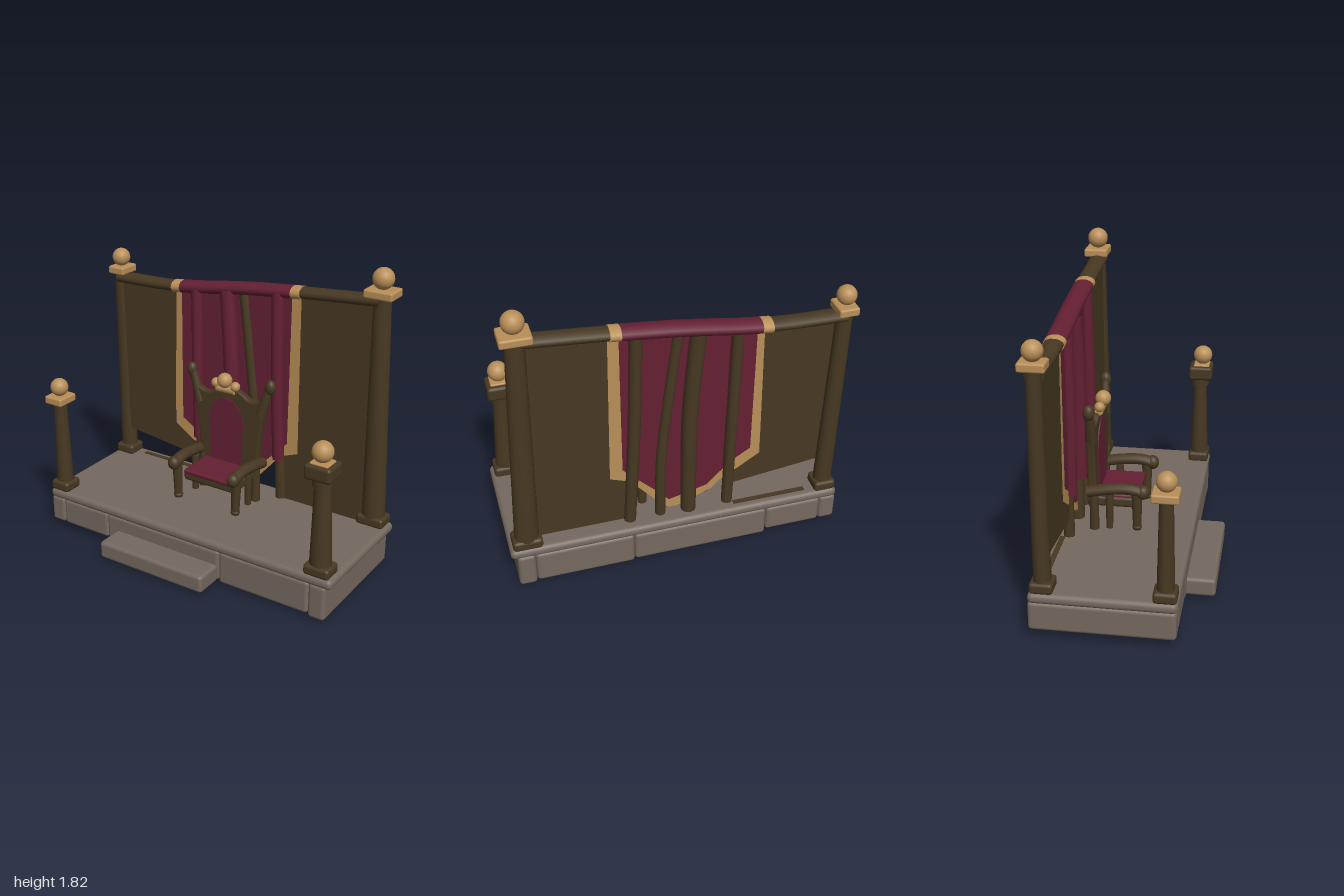
import * as THREE from 'three';
import { RoundedBoxGeometry } from 'three/addons/geometries/RoundedBoxGeometry.js';

const mat = (name, color, side = THREE.FrontSide) => {
  const m = new THREE.MeshStandardMaterial({ color, side });
  m.name = name;
  return m;
};

export function createModel() {
  const root = new THREE.Group();
  root.name = 'throneDais';
  const D = THREE.DoubleSide;
  const stone = mat('stone', 0x75695f);
  const wood = mat('dark wood', 0x473822, D);
  const crimson = mat('crimson', 0x642033, D);
  const gold = mat('gold', 0xb98f58, D);
  const V = (p) => new THREE.Vector3(...p);

  const add = (name, geo, material, parent = root) => {
    const m = new THREE.Mesh(geo, material);
    m.name = name;
    parent.add(m);
    return m;
  };
  const group = (name) => {
    const g = new THREE.Group();
    g.name = name;
    root.add(g);
    return g;
  };
  // Rounded box given by its extents on each axis
  const block = (name, [x0, x1], [y0, y1], [z0, z1], r, material, parent) => {
    const m = add(name, new RoundedBoxGeometry(x1 - x0, y1 - y0, z1 - z0, 3, r), material, parent);
    m.position.set((x0 + x1) / 2, (y0 + y1) / 2, (z0 + z1) / 2);
    return m;
  };
  const ball = (name, p, r, material, parent, sy = 1) => {
    const m = add(name, new THREE.SphereGeometry(r, 20, 14), material, parent);
    m.position.set(...p);
    m.scale.y = sy;
    return m;
  };
  // Tapered rod between two points
  const rod = (name, a, b, ra, rb, material, parent) => {
    const d = V(b).sub(V(a));
    const m = add(name, new THREE.CylinderGeometry(rb, ra, d.length(), 16), material, parent);
    m.position.copy(V(a).add(V(b)).multiplyScalar(0.5));
    m.quaternion.setFromUnitVectors(new THREE.Vector3(0, 1, 0), d.normalize());
    return m;
  };
  const tube = (pts, r, seg = 20) =>
    new THREE.TubeGeometry(new THREE.CatmullRomCurve3(pts.map(V)), seg, r, 14);

  // Stone dais: slab on a hollow ring of blocks, with one step
  const dais = group('dais');
  block('slab', [-1, 0.99], [0.225, 0.287], [-0.48, 0.325], 0.028, stone, dais);
  const cuts = [-0.998, -0.895, -0.55, 0.265, 0.85, 0.955];
  const feet = [0.065, 0.065, 0.04, 0.03, 0.017];
  feet.forEach((y, i) => {
    const xs = [cuts[i], cuts[i + 1]];
    block('frontBlock', xs, [y, 0.235], [0.22, 0.32], 0.022, stone, dais);
    block('backBlock', xs, [y, 0.235], [-0.48, -0.38], 0.022, stone, dais);
  });
  block('leftEndBlock', [0.855, 0.955], [0.017, 0.235], [-0.47, 0.31], 0.022, stone, dais);
  block('rightEndBlock', [-0.998, -0.9], [0.065, 0.235], [-0.47, 0.31], 0.022, stone, dais);
  block('step', [-0.48, 0.255], [0.033, 0.143], [0.3, 0.485], 0.022, stone, dais);
  add('underside', new THREE.BoxGeometry(1.78, 0.008, 0.64), wood, dais).position.set(-0.02, 0.222, -0.08);
  add('floorStrip', new THREE.BoxGeometry(0.45, 0.008, 0.03), wood, dais).position.set(-0.58, 0.287, -0.42);

  // Corner posts: foot, leaning shaft, cap and ball finial
  const post = (name, z, foot, head, r0, r1, cap, capWood, ballR) => {
    const g = group(name);
    const [xf, xh, yh] = [foot, head[0], head[1]];
    const f = r0 * 1.2;
    block('foot', [xf - f, xf + f], [0.28, 0.345], [z - 0.065, z + 0.065], 0.02, wood, g);
    const s = rod('shaft', [xf, 0.3, z], [xh, yh, z], r0, r1, wood, g);
    s.scale.z = 0.9;
    if (capWood) {
      rod('neck', [xh, yh - 0.05, z], [xh, yh, z], r1 * 1.25, r1 * 1.25, wood, g);
      block('capital', [xh - 0.08, xh + 0.08], [yh, yh + 0.09], [z - 0.07, z + 0.08], 0.02, wood, g);
      block('cap', [xh - 0.055, xh + 0.055], [yh + 0.08, yh + 0.1], [z - 0.04, z + 0.06], 0.008, gold, g);
    } else {
      block('cap', [Math.max(-1, xh - cap), xh + cap], [yh - 0.005, yh + 0.045], [z - 0.075, z + 0.07], 0.012, gold, g);
    }
    ball('finial', [xh, yh + (capWood ? 0.155 : 0.04 + ballR), z + (capWood ? 0.015 : 0)], ballR, gold, g);
  };
  post('backLeftPost', -0.41, 0.885, [0.85, 1.675], 0.072, 0.053, 0.087, false, 0.062);
  post('backRightPost', -0.405, -0.925, [-0.946, 1.53], 0.055, 0.046, 0.062, false, 0.056);
  post('frontLeftPost', 0.255, 0.89, [0.88, 0.865], 0.066, 0.045, 0, true, 0.06);
  post('frontRightPost', 0.255, -0.928, [-0.935, 0.87], 0.055, 0.042, 0.064, false, 0.055);

  // Top rail, rising to the left, banded in the banner colours
  const railCurve = new THREE.CatmullRomCurve3(
    [[-0.95, 1.498, 0], [-0.5, 1.513, 0], [0, 1.58, 0], [0.35, 1.615, 0], [0.85, 1.655, 0]].map(V));
  const railY = (x) => {
    let lo = 0, hi = 1;
    for (let i = 0; i < 24; i++) {
      const t = (lo + hi) / 2;
      if (railCurve.getPoint(t).x < x) lo = t; else hi = t;
    }
    return railCurve.getPoint(lo).y;
  };
  const rail = group('topRail');
  [[-0.95, -0.52, wood], [-0.52, -0.46, gold], [-0.46, 0.31, crimson], [0.31, 0.37, gold], [0.37, 0.85, wood]]
    .forEach(([a, b, m]) => {
      const pts = [];
      for (let i = 0; i <= 5; i++) {
        const x = a + (b - a) * i / 5;
        pts.push([x, railY(x), 0]);
      }
      const t = add('railBand', tube(pts, m === wood ? 0.035 : 0.039), m, rail);
      t.scale.z = 1.55;
      t.position.z = -0.4;
    });

  // Hanging cloth, cut into one flat piece for each colour
  const cloth = group('backcloth');
  const sheet = (name, a, b, lower, material) => {
    const pts = [];
    for (let i = 0; i <= 6; i++) {
      const x = a + (b - a) * i / 6;
      pts.push([x, railY(x)]);
    }
    const shape = new THREE.Shape([...pts, ...lower].map((p) => new THREE.Vector2(...p)));
    add(name, new THREE.ShapeGeometry(shape), material, cloth).position.z = -0.375;
  };
  sheet('rightCloth', -0.93, -0.5,
    [[-0.52, 0.6], [-0.38, 0.51], [-0.3, 0.5], [-0.3, 0.4], [-0.92, 0.475]], wood);
  sheet('leftCloth', 0.37, 0.85, [[0.88, 0.287], [0.25, 0.287], [0.25, 0.56], [0.38, 0.61]], wood);
  sheet('rightTrim', -0.52, -0.46,
    [[-0.46, 0.65], [-0.34, 0.575], [-0.33, 0.5], [-0.38, 0.51], [-0.515, 0.6]], gold);
  sheet('leftTrim', 0.31, 0.37, [[0.38, 0.61], [0.25, 0.55], [0.25, 0.6], [0.305, 0.66]], gold);
  sheet('banner', -0.46, 0.31,
    [[0.305, 0.66], [0.25, 0.6], [0.12, 0.47], [0.03, 0.37], [-0.2, 0.43], [-0.34, 0.575], [-0.46, 0.65]], crimson);
  const hem = [[-0.34, 0.575], [-0.2, 0.43], [0.03, 0.37], [0.12, 0.47], [0.25, 0.6],
    [0.25, 0.55], [0.13, 0.41], [0.03, 0.31], [-0.02, 0.31], [-0.23, 0.395], [-0.33, 0.5]];
  add('hem', new THREE.ShapeGeometry(new THREE.Shape(hem.map((p) => new THREE.Vector2(...p)))), gold, cloth)
    .position.z = -0.375;

  // Heavy folds: poles behind, crimson in front
  [[-0.345, -0.335, -0.325, 0.033], [-0.125, -0.085, -0.085, 0.045], [0.22, 0.235, 0.27, 0.035]]
    .forEach(([xt, xm, xb, r]) => {
      const y = railY(xt);
      add('foldPole', tube([[xt, y, -0.39], [xm, 1, -0.39], [xb, 0.28, -0.385]], r), wood, cloth);
      add('fold', tube([[xt, y, -0.37], [xm, 1, -0.363], [(xm + xb) / 2, 0.55, -0.37]], r + 0.003), crimson, cloth);
    });
  add('slitPole', tube([[-0.015, 1.55, -0.38], [0.035, 1.15, -0.38], [0.08, 0.7, -0.38], [0.085, 0.28, -0.38]], 0.03),
    wood, cloth);

  // Throne
  const throne = group('throne');
  const cx = -0.03;
  const backShape = new THREE.Shape();
  backShape.moveTo(-0.19, 0.44);
  backShape.lineTo(0.19, 0.44);
  backShape.quadraticCurveTo(0.2, 0.7, 0.235, 0.87);
  backShape.lineTo(0.225, 0.95);
  backShape.quadraticCurveTo(0.16, 0.91, 0.11, 0.945);
  backShape.quadraticCurveTo(0, 1.02, -0.11, 0.945);
  backShape.quadraticCurveTo(-0.16, 0.91, -0.225, 0.95);
  backShape.lineTo(-0.235, 0.87);
  backShape.quadraticCurveTo(-0.2, 0.7, -0.19, 0.44);
  add('backrest', new THREE.ExtrudeGeometry(backShape, {
    depth: 0.03, bevelEnabled: true, bevelSize: 0.01, bevelThickness: 0.01, bevelSegments: 2, curveSegments: 10,
  }), wood, throne).position.set(cx, 0, -0.28);
  const pad = new THREE.Shape();
  pad.moveTo(-0.11, 0.5);
  pad.lineTo(0.11, 0.5);
  pad.lineTo(0.12, 0.78);
  pad.bezierCurveTo(0.11, 0.97, -0.11, 0.97, -0.12, 0.78);
  add('backPad', new THREE.ExtrudeGeometry(pad, { depth: 0.008, bevelEnabled: false }), crimson, throne)
    .position.set(cx - 0.015, 0, -0.242);
  block('seatFrame', [-0.21, 0.16], [0.425, 0.49], [-0.26, -0.015], 0.02, wood, throne);
  block('seatPad', [-0.2, 0.14], [0.475, 0.505], [-0.25, 0], 0.014, crimson, throne);
  for (const s of [-1, 1]) {
    const ax = cx + s * 0.212;
    rod('ear', [cx + s * 0.215, 0.86, -0.262], [cx + s * 0.27, 1.05, -0.262], 0.035, 0.024, wood, throne);
    ball('earTip', [cx + s * 0.278, 1.052, -0.262], 0.033, wood, throne, 1.4);
    const arm = add('armrest', tube([[0, 0.548, 0.04], [0, 0.565, -0.04], [0, 0.56, -0.15], [0, 0.535, -0.29]], 0.033),
      wood, throne);
    arm.position.x = ax;
    arm.scale.x = 1.15;
    ball('armFront', [ax, 0.55, 0.035], 0.039, wood, throne, 1.1);
    rod('frontLeg', [ax - s * 0.005, 0.31, 0], [ax, 0.54, 0], 0.024, 0.032, wood, throne);
    ball('frontFoot', [ax - s * 0.005, 0.325, 0], 0.029, wood, throne, 0.7);
    rod('middleLeg', [ax - s * 0.02, 0.3, -0.165], [ax - s * 0.02, 0.53, -0.165], 0.02, 0.024, wood, throne);
    rod('rearLeg', [ax - s * 0.02, 0.288, -0.255], [ax - s * 0.02, 0.53, -0.255], 0.028, 0.026, wood, throne);
    ball('crestBead', [cx - 0.018 + s * 0.068, 1.015, -0.235], 0.03, gold, throne);
  }
  ball('crestBall', [cx - 0.018, 1.045, -0.225], 0.046, gold, throne);
  rod('crestBar', [-0.11, 0.985, -0.24], [0.015, 0.985, -0.24], 0.025, 0.025, gold, throne);

  return root;
}
